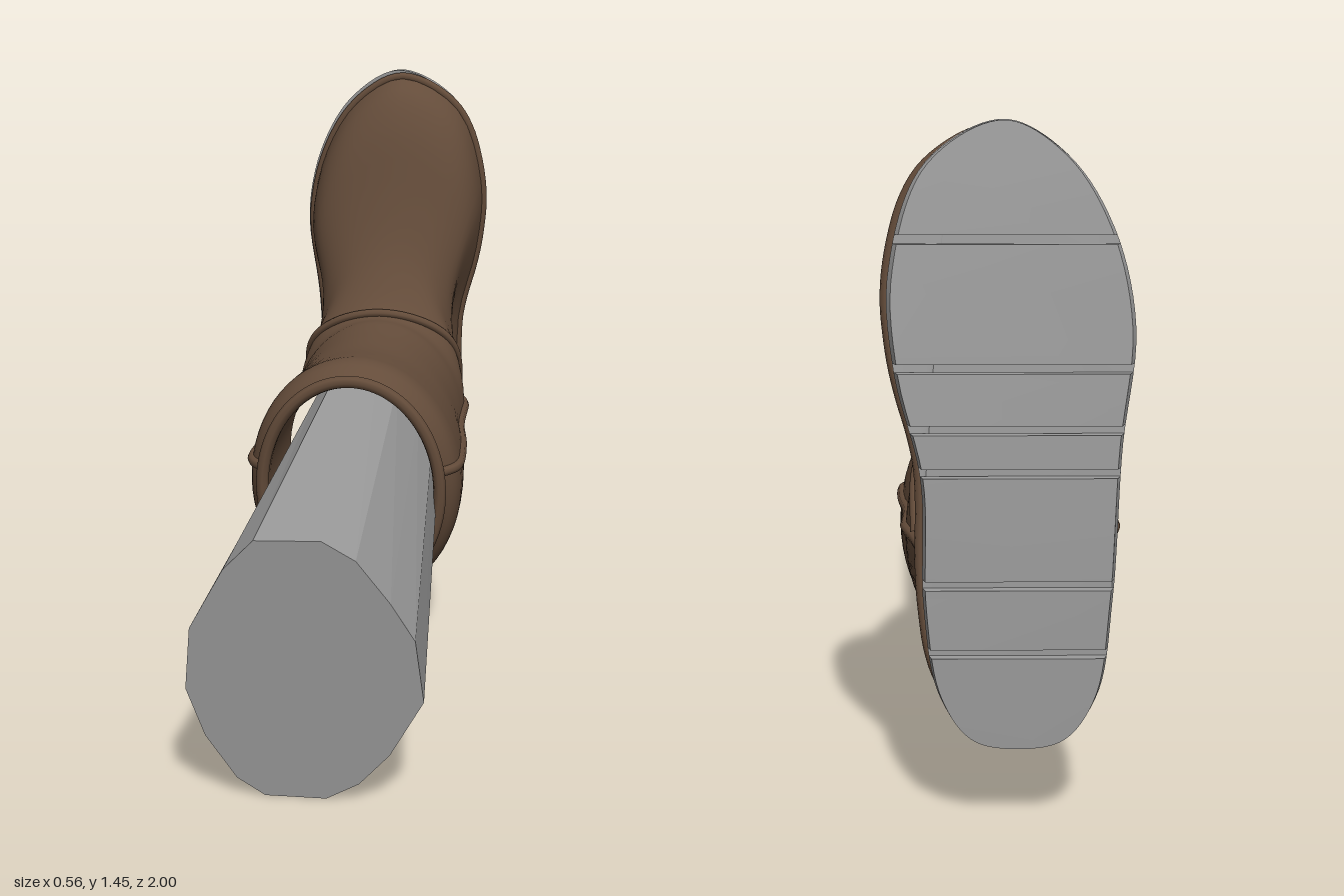
import * as THREE from 'three';
import { toCreasedNormals } from 'three/addons/utils/BufferGeometryUtils.js';

const V = (x, y, z) => new THREE.Vector3(x, y, z);
const { lerp, smoothstep } = THREE.MathUtils;
// Cross-sections lean with height, a little more at the rim than at the sole
const lean = (s, y) => s + (0.08 + 0.028 * s) * (y - 0.45);

// Footprint, from the heel up the left side, over the toe and back down
const footprint = new THREE.CatmullRomCurve3([
  [0, 0.19], [0.1, 0.21], [0.165, 0.3], [0.195, 0.48], [0.2, 0.74], [0.253, 0.95], [0.265, 1.14], [0.195, 1.35],
  [0.03, 1.44], [-0.105, 1.37], [-0.197, 1.23], [-0.24, 1.04], [-0.213, 0.8], [-0.195, 0.5], [-0.165, 0.3], [-0.1, 0.21],
].map(([x, y]) => V(x, y, 0)), true);

// Boot stations: depth behind the origin, lowest y, highest y, half width, blend to footprint
const stations = [
  [-0.085, 0.165, 0.722, 0.222, 0], [-0.06, 0.155, 0.732, 0.235, 0], [-0.03, 0.135, 0.755, 0.258, 0],
  [0.01, 0.12, 0.766, 0.269, 0], [0.06, 0.119, 0.764, 0.27, 0], [0.2, 0.14, 0.757, 0.262, 0],
  [0.35, 0.175, 0.768, 0.242, 0], [0.45, 0.203, 0.782, 0.238, 0], [0.524, 0.215, 0.795, 0.238, 0.03],
  [0.6, 0.215, 0.9, 0.238, 0.2], [0.647, 0.212, 1.0, 0.238, 0.38], [0.69, 0.21, 1.13, 0.238, 0.56],
  [0.728, 0.205, 1.265, 0.238, 0.73], [0.778, 0.2, 1.37, 0.238, 0.9], [0.83, 0.195, 1.42, 0.238, 0.98],
  [0.862, 0.19, 1.44, 0.238, 1],
];
const bootAt = new THREE.CubicInterpolant(stations.map((r) => r[0]), stations.flatMap((r) => r.slice(1)), 4);

function section(d, t, [lo, hi, w, k]) {
  const a = (t - 0.25) * Math.PI * 2;
  const p = footprint.getPoint(t);
  const u = lerp((1 + Math.sin(a)) / 2, (p.y - 0.19) / 1.25, k);
  const y = lerp(lo, hi, u);
  // The instep is pinched in above the ankle
  const pinch = 0.2 * Math.exp(-(((y - 0.79) / 0.18) ** 2)) * smoothstep(d, 0.54, 0.64) * (1 - smoothstep(d, 0.7, 0.86));
  return V(lerp(w * Math.cos(a), p.x * 0.97, k) * (1 - pinch), y, lean(-d, y));
}
const bootPoint = (d, t) => section(d, t, [...bootAt.evaluate(d)]);

// Find the point at height y on one side (+1 or -1) of a ring function
function atHeight(ring, y, side) {
  let a = 0, b = 0.5;
  for (let i = 0; i < 30; i++) {
    const m = (a + b) / 2;
    if (ring(side > 0 ? m : 1 - m).y < y) a = m; else b = m;
  }
  return ring(side > 0 ? a : 1 - a);
}

// Closed rings joined into a skin; rings run towards -z to face outwards
function loft(rings) {
  const n = rings[0].length, index = [];
  for (let i = 0; i < rings.length - 1; i++) {
    for (let j = 0; j < n; j++) {
      const a = i * n + j, b = i * n + (j + 1) % n, c = a + n, d = b + n;
      index.push(c, d, a, d, b, a);
    }
  }
  const g = new THREE.BufferGeometry().setFromPoints(rings.flat());
  g.setIndex(index);
  g.computeVertexNormals();
  return g;
}
const range = (n, f) => Array.from({ length: n }, (_, i) => f(i));

// Sole slab between two heights and two depth fractions (0 = tread, 1 = upper)
const treadAt = new THREE.CubicInterpolant([0.18, 0.4, 0.6, 0.85, 1.0, 1.22, 1.45],
  [-0.995, -1, -0.997, -0.98, -0.962, -0.923, -0.87], 1);
function soleSlab(y0, y1, f0, f1) {
  const ys = range(61, (i) => 0.815 - 0.625 * Math.cos((i / 60) * Math.PI)).filter((y) => y > y0 + 0.001 && y < y1 - 0.001);
  ys.unshift(y0);
  ys.push(y1);
  const edge = (side) => ys.map((y) => atHeight((t) => footprint.getPoint(t), y, side));
  const outline = [...edge(1), ...edge(-1).reverse()].map((p) => new THREE.Vector2(p.x, p.y));
  const g = new THREE.ExtrudeGeometry(new THREE.Shape(outline), { depth: f1 - f0, bevelEnabled: false });
  const pos = g.attributes.position;
  for (let i = 0; i < pos.count; i++) {
    const y = pos.getY(i), f = pos.getZ(i) + f0;
    const x = pos.getX(i) * (f < 0.001 ? 0.95 : 0.985);
    pos.setXYZ(i, x - 0.012, y * 1.018 - 0.015, lerp(treadAt.evaluate(y)[0], lean(-0.86, y), f));
  }
  return toCreasedNormals(g, 0.5);
}

export function createModel() {
  const leather = new THREE.MeshStandardMaterial({ color: 0x644c3a });
  leather.name = 'brown leather';
  const grey = new THREE.MeshStandardMaterial({ color: 0x9b9b9b });
  grey.name = 'plain grey';

  const model = new THREE.Group();
  model.name = 'boot on leg';
  const add = (name, geometry, material, parent = model) => {
    const mesh = new THREE.Mesh(geometry, material);
    mesh.name = name;
    parent.add(mesh);
  };
  const piping = (name, points, radius, closed = false) => add(name,
    new THREE.TubeGeometry(new THREE.CatmullRomCurve3(points, closed), points.length * 3, radius, 8, closed), leather);

  // Shaft and foot in one smooth skin
  const N = 64;
  add('bootUpper', loft(range(64, (i) => {
    const d = lerp(-0.085, 0.862, i / 63);
    return range(N, (j) => bootPoint(d, j / N));
  })), leather);

  // Inside of the opening
  const lining = [[0.2, 0.22, 0.73, 0.2, 0], [-0.06, 0.185, 0.71, 0.208, 0], [-0.09, 0.17, 0.718, 0.222, 0]];
  add('lining', loft(lining.map(([d, ...r]) => range(N, (j) => section(d, j / N, r)))), leather);

  // Rolled rim and the welt around the foot
  piping('rim', range(40, (j) => bootPoint(-0.08, j / 40)), 0.016, true);
  piping('welt', range(48, (j) => bootPoint(0.85, j / 48)), 0.012, true);

  // Seam across the instep, running down both sides
  piping('instepSeam', range(25, (i) => {
    const a = ((i - 12) / 12) * Math.PI / 2, c = Math.cos(a);
    const d = 0.524 + 0.14 * (1 - c);
    return atHeight((t) => bootPoint(d, t), 0.55 + 0.245 * c, i < 12 ? -1 : 1);
  }), 0.012);

  // Side seams from rim to welt
  for (const side of [1, -1]) {
    piping(side > 0 ? 'leftSeam' : 'rightSeam', range(24, (i) => {
      const d = lerp(-0.07, 0.85, i / 23);
      return atHeight((t) => bootPoint(d, t), lerp(0.494, 0.535, Math.min(1, i / 16)), side);
    }), 0.013);
  }

  // Sole with tread pads split by grooves
  const sole = new THREE.Group();
  sole.name = 'sole';
  model.add(sole);
  add('midsole', soleSlab(0.1905, 1.4395, 0.17, 1), grey, sole);
  const cuts = [0.18, 0.39, 0.53, 0.755, 0.84, 0.96, 1.21, 1.45];
  for (let i = 0; i < cuts.length - 1; i++) {
    const y0 = Math.max(cuts[i] + 0.009, 0.1905), y1 = Math.min(cuts[i + 1] - 0.009, 1.4395);
    add('treadPad' + (i + 1), soleSlab(y0, y1, 0, 0.17), grey, sole);
  }

  // Faceted leg, narrowing into the boot
  const legOutline = [[0.07, 0.002], [0.14, 0.04], [0.205, 0.11], [0.277, 0.235], [0.26, 0.37], [0.21, 0.45], [0.14, 0.54],
    [0.07, 0.58], [-0.07, 0.576], [-0.135, 0.51], [-0.21, 0.377], [-0.223, 0.24], [-0.185, 0.135], [-0.12, 0.04], [-0.06, 0.002]];
  const front = legOutline.map(([x, y]) => V(x, y, 0.94 + 0.1 * y));
  const back = legOutline.map(([x, y]) => V(x * 0.74 - 0.005, 0.225 + y * 0.85, -0.15 + 0.1 * y));
  const centre = legOutline.map(() => V(0.02, 0.3, 0.97));
  const leg = loft([centre, front, back]).toNonIndexed();
  leg.computeVertexNormals();
  add('leg', leg, grey);

  return model;
}
